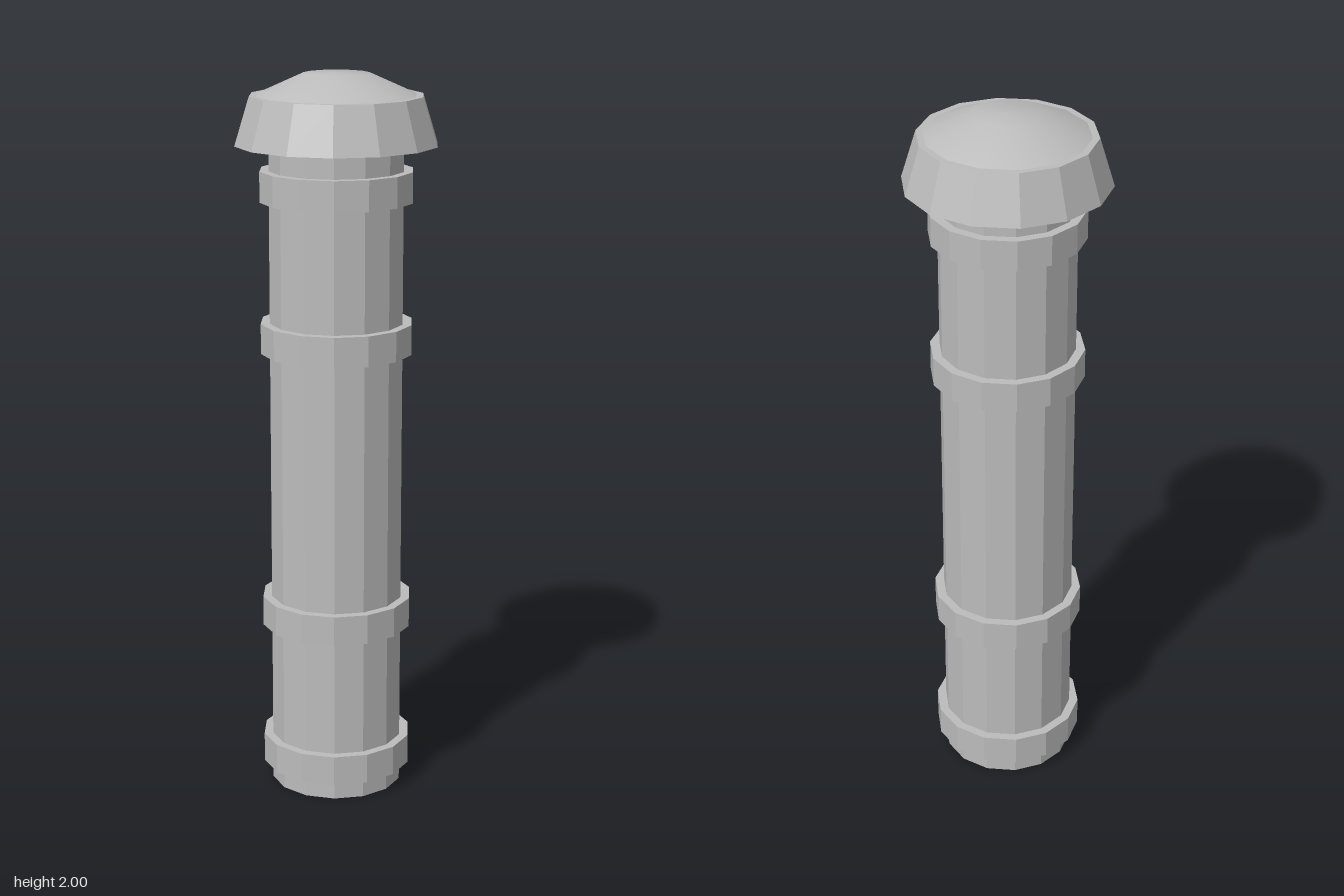
import * as THREE from 'three';

const SIDES = 14;

export function createModel() {
  const model = new THREE.Group();
  model.name = 'bollard';

  const grey = new THREE.MeshStandardMaterial({ color: 0xbcbcbc });
  grey.name = 'grey metal';

  // Faceted tapered ring or post between two heights, with a corner on the x axis
  function drum(name, bottomRadius, topRadius, y0, y1) {
    const indexed = new THREE.CylinderGeometry(topRadius, bottomRadius, y1 - y0, SIDES);
    const geometry = indexed.toNonIndexed();
    geometry.computeVertexNormals(); // flat facets
    geometry.rotateY(Math.PI / 2);
    geometry.translate(0, (y0 + y1) / 2, 0);
    const mesh = new THREE.Mesh(geometry, grey);
    mesh.name = name;
    model.add(mesh);
  }

  // Post
  drum('post', 0.184, 0.184, 0, 1.82);

  // Four raised bands
  [0.053, 0.466, 1.246, 1.659].forEach((y, i) => {
    drum(`band${i + 1}`, 0.209, 0.209, y, y + 0.083);
  });

  // Flared cap
  drum('cap', 0.275, 0.235, 1.81, 1.94);

  // Smooth shallow dome set inside the cap rim
  const profile = [[0.221, 1.938], [0.09, 1.997], [0, 2]].map(([r, y]) => new THREE.Vector2(r, y));
  const domeGeometry = new THREE.LatheGeometry(profile, SIDES);
  domeGeometry.rotateY(Math.PI / 2);
  const dome = new THREE.Mesh(domeGeometry, grey);
  dome.name = 'dome';
  model.add(dome);

  return model;
}
